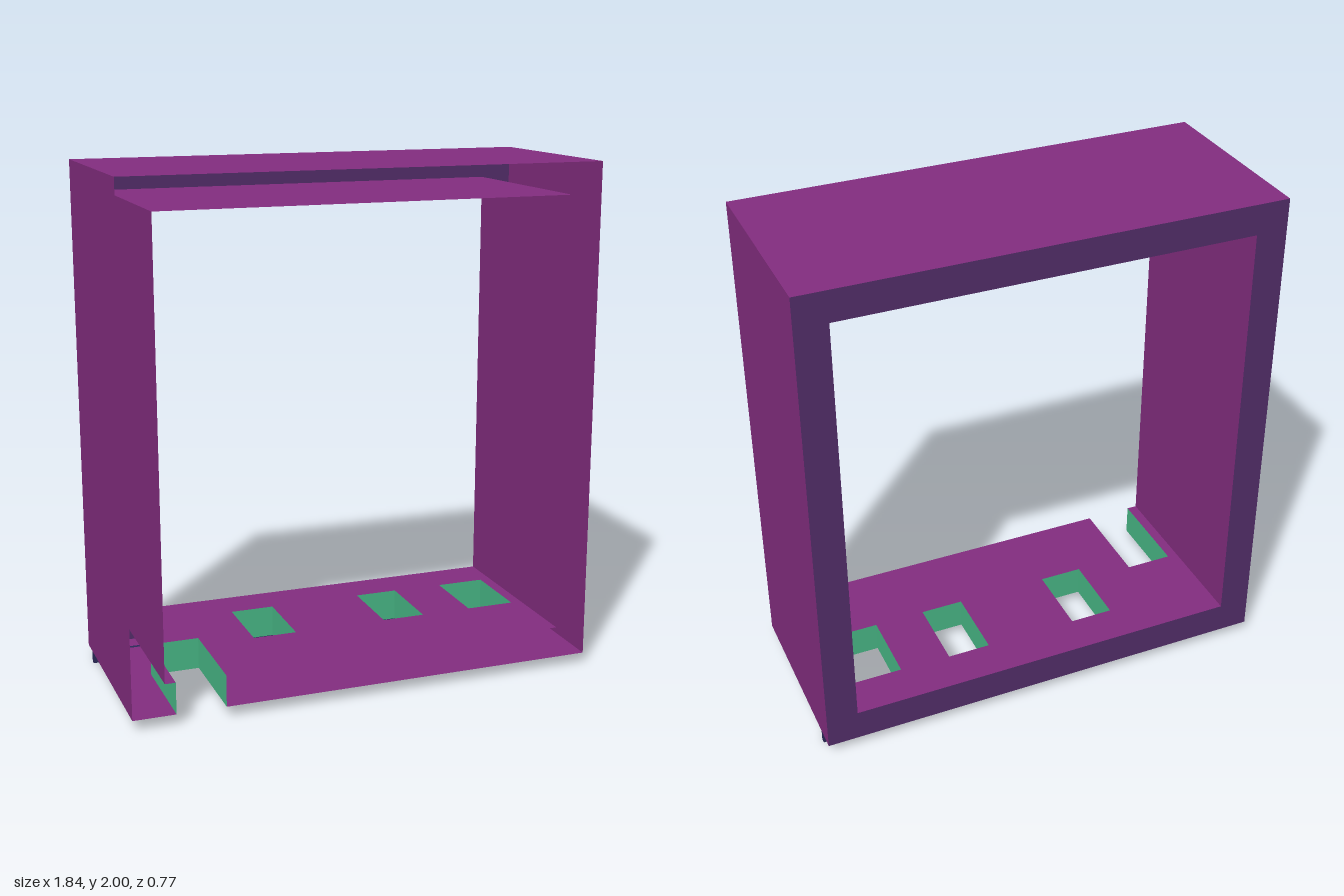
import * as THREE from 'three';

const W = 0.922, TOP = 2, BASE = 0.045, D = 0.386;      // outer shell
const IW = 0.798, ITOP = 1.88, FLOOR = 0.17;            // inner opening

const mat = (name, color) =>
  new THREE.MeshStandardMaterial({ name, color, side: THREE.DoubleSide });

// Flat strip of quads: a polyline of 3D points swept by one offset vector
function sweep(points, offset) {
  const pos = [];
  for (let i = 0; i < points.length - 1; i++) {
    const a = new THREE.Vector3(...points[i]);
    const b = new THREE.Vector3(...points[i + 1]);
    const c = b.clone().add(offset);
    const d = a.clone().add(offset);
    for (const p of [a, b, c, a, c, d]) pos.push(p.x, p.y, p.z);
  }
  const g = new THREE.BufferGeometry();
  g.setAttribute('position', new THREE.Float32BufferAttribute(pos, 3));
  g.computeVertexNormals();
  return g;
}

const shapeOf = (Type, pts) => new Type(pts.map(([x, y]) => new THREE.Vector2(x, y)));
const rect = (x0, x1, y0, y1) => [[x0, y0], [x1, y0], [x1, y1], [x0, y1]];

export function createModel() {
  const magenta = mat('magenta', 0x842d80);
  const purple = mat('purple', 0x542e6b);
  const green = mat('green', 0x49b987);
  const navy = mat('navy', 0x2a2a58);

  const model = new THREE.Group();
  model.name = 'hollowFrame';
  const add = (name, geometry, material) => {
    const m = new THREE.Mesh(geometry, material);
    m.name = name;
    model.add(m);
    return m;
  };

  // Outer and inner sleeves (two sides and top), open at the front
  const depth = new THREE.Vector3(0, 0, 2 * D);
  const arch = (w, y0, y1) =>
    [[w, y0], [w, y1], [-w, y1], [-w, y0]].map(([x, y]) => [x, y, -D]);
  add('outerShell', sweep(arch(W, BASE, TOP), depth), magenta);
  add('innerShell', sweep(arch(IW, FLOOR, ITOP), depth), magenta);

  // Back rim closing the gap between the sleeves
  const rim = shapeOf(THREE.Shape, rect(-W, W, BASE, TOP));
  rim.holes.push(shapeOf(THREE.Path, rect(-IW, IW, FLOOR, ITOP)));
  add('backRim', new THREE.ShapeGeometry(rim).translate(0, 0, -D), purple);

  // Slots through the floor: three closed holes and a notch open to the front
  const holes = [
    rect(-0.362, -0.188, -0.225, 0.075),
    rect(0.185, 0.357, -0.225, 0.075),
    rect(0.56, 0.755, -0.22, 0.075),
  ];
  const notch = [[-0.757, D], [-0.757, 0], [-0.566, 0], [-0.566, D]];

  // Floor and underside plates, outlined in x and z
  const plate = (name, w, y) => {
    const s = shapeOf(THREE.Shape, [[-w, -D], [w, -D], [w, D], ...[...notch].reverse(), [-w, D]]);
    for (const h of holes) s.holes.push(shapeOf(THREE.Path, h));
    add(name, new THREE.ShapeGeometry(s).rotateX(Math.PI / 2).translate(0, y, 0), magenta);
  };
  plate('floor', IW, FLOOR);
  plate('underside', W, BASE);

  // Slot walls joining the two plates
  const rise = new THREE.Vector3(0, FLOOR - BASE, 0);
  const slot = (name, pts) =>
    add(name, sweep(pts.map(([x, z]) => [x, BASE, z]), rise), green);
  holes.forEach((h, i) => slot(`slotWalls${i + 1}`, [...h, h[0]]));
  slot('notchWalls', notch);

  // Thin rail under the back edge
  add('bottomRail', new THREE.BoxGeometry(2 * W, BASE, 0.02), navy)
    .position.set(0, BASE / 2, -0.305);

  return model;
}
